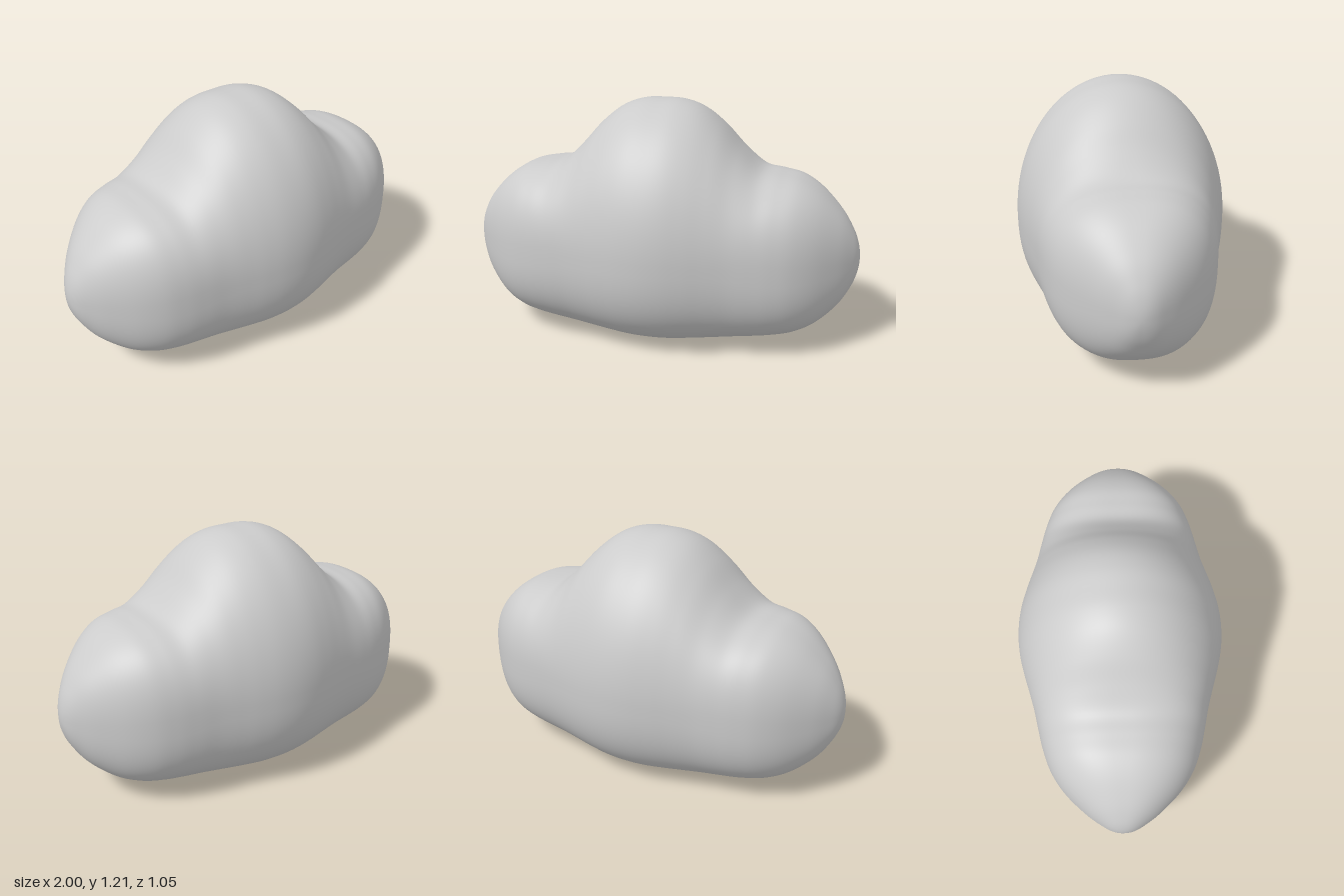
import * as THREE from 'three';
import { mergeVertices } from 'three/addons/utils/BufferGeometryUtils.js';

// Half of the cloud from middle to tip: x, top, bottom, half depth, widest height, roundness of the top
const half = [
  [0, 1.21, 0.003, 0.527, 0.52, 2.0],
  [0.1, 1.205, 0.005, 0.519, 0.52, 2.0],
  [0.2, 1.17, 0.013, 0.497, 0.515, 2.0],
  [0.3, 1.092, 0.022, 0.468, 0.51, 2.05],
  [0.4, 0.98, 0.033, 0.441, 0.5, 2.2],
  [0.5, 0.89, 0.045, 0.42, 0.48, 2.5],
  [0.6, 0.87, 0.059, 0.396, 0.465, 2.6],
  [0.7, 0.85, 0.08, 0.358, 0.46, 2.6],
  [0.8, 0.793, 0.125, 0.29, 0.458, 2.5],
  [0.9, 0.695, 0.212, 0.188, 0.456, 2.4],
  [0.96, 0.605, 0.303, 0.107, 0.455, 2.3],
  [0.99, 0.53, 0.38, 0.052, 0.455, 2.2],
  [1, 0.455, 0.455, 0, 0.455, 2.2],
];
const mirror = ([x, ...rest]) => [-x, ...rest];
// Beyond each tip the outline turns back on itself, which keeps the ends round
const ghost = [0.99, 0.38, 0.53, -0.052, 0.455, 2.2];
const rows = [mirror(ghost), ...half.slice(1).reverse().map(mirror), ...half, ghost];

// Smooth interpolation between the rows
function section(u) {
  const i = Math.min(Math.floor(u), rows.length - 4);
  const t = u - i;
  return rows[0].map((_, k) => {
    const [a, b, c, d] = [0, 1, 2, 3].map((o) => rows[i + o][k]);
    return b + 0.5 * t * (c - a + t * (2 * a - 5 * b + 4 * c - d + t * (3 * (b - c) + d - a)));
  });
}

const power = (v, n) => Math.sign(v) * Math.abs(v) ** (2 / n);

function cloudGeometry(steps = 6, sides = 96) {
  const position = [];
  const index = [];
  const count = (rows.length - 3) * steps;
  for (let i = 0; i <= count; i++) {
    const [x, top, bottom, depth, middle, round] = section(i / steps);
    for (let j = 0; j < sides; j++) {
      const a = (j / sides) * Math.PI * 2;
      const s = Math.sin(a);
      const n = s > 0 ? round : 2.6;
      const height = s > 0 ? top - middle : middle - bottom;
      position.push(x, middle + height * power(s, n), depth * power(Math.cos(a), n));
      if (i === count) continue;
      const p = i * sides + j;
      const q = i * sides + ((j + 1) % sides);
      // The rings at the tips are points, so one triangle is enough there
      if (i < count - 1) index.push(p, p + sides, q + sides);
      if (i > 0) index.push(p, q + sides, q);
      if (i === count - 1) index.push(p, p + sides, q);
    }
  }
  const geometry = new THREE.BufferGeometry();
  geometry.setAttribute('position', new THREE.Float32BufferAttribute(position, 3));
  geometry.setIndex(index);
  const merged = mergeVertices(geometry);
  merged.computeVertexNormals();
  return merged;
}

export function createModel() {
  const group = new THREE.Group();
  group.name = 'cloud';
  const body = new THREE.Mesh(cloudGeometry(), new THREE.MeshStandardMaterial({ color: 0xcccccc }));
  body.name = 'cloudBody';
  group.add(body);
  return group;
}
